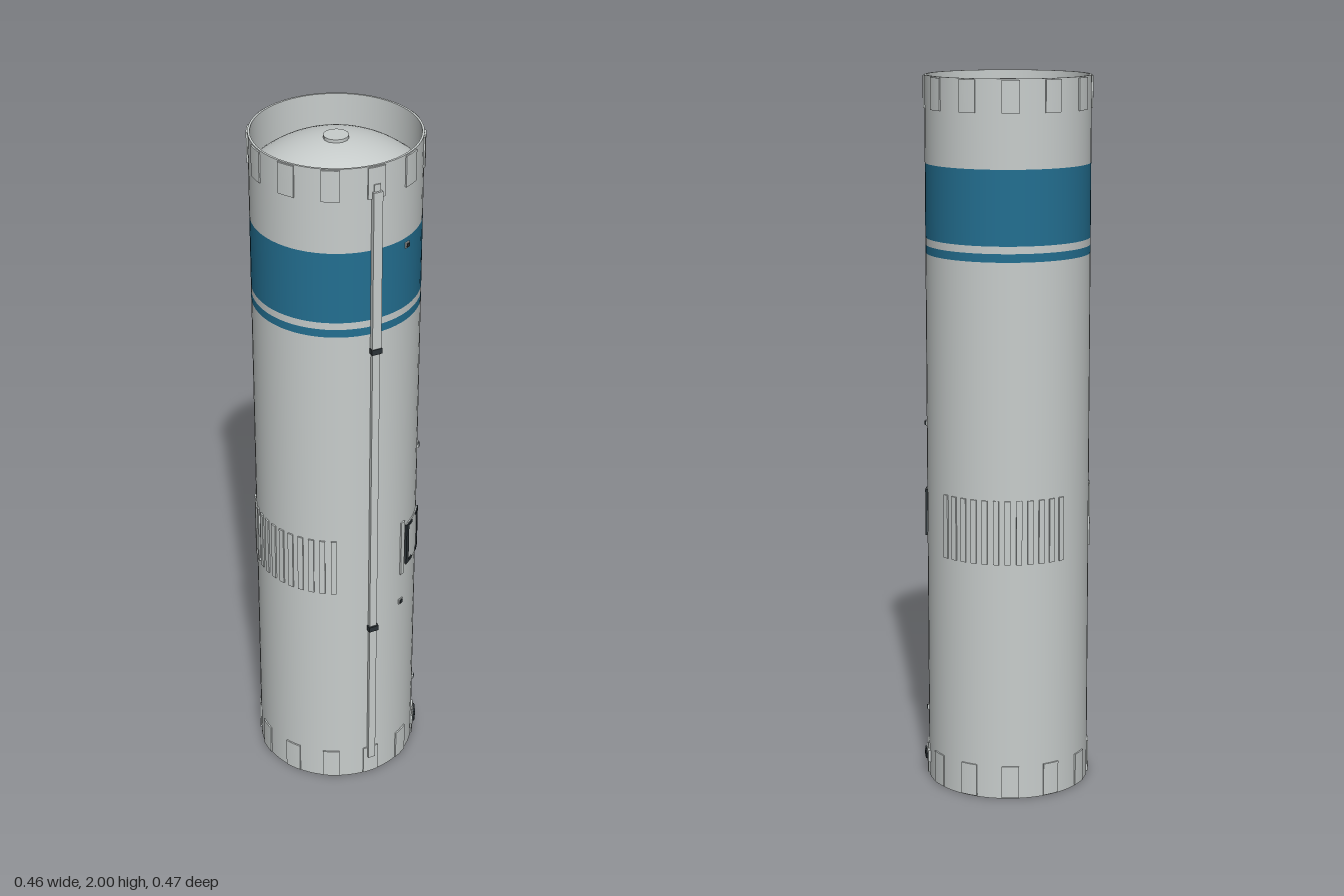
import * as THREE from 'three';

const R = 0.228, RI = 0.222, SEG = 64, DEG = Math.PI / 180;

function paint(name, color) {
  const m = new THREE.MeshStandardMaterial({ color });
  m.name = name;
  return m;
}

export function createModel() {
  const grey = paint('light grey', 0xc8cdcc);
  const blue = paint('blue', 0x236f91);
  const dark = paint('charcoal', 0x2b3236);

  const model = new THREE.Group();
  model.name = 'boosterStage';
  const body = new THREE.Group();
  body.name = 'body';
  body.position.z = -0.006;
  model.add(body);

  function add(name, geometry, material) {
    const mesh = new THREE.Mesh(geometry, material);
    mesh.name = name;
    body.add(mesh);
    return mesh;
  }

  function lathe(name, points, material) {
    return add(name, new THREE.LatheGeometry(points.map(p => new THREE.Vector2(...p)), SEG), material);
  }

  // Curved plate wrapped on the hull; azimuth runs from the front (+z) towards +x
  function plate(name, a0, a1, y0, y1, r1, material, r0 = R - 0.002) {
    const s = new THREE.Shape();
    const t0 = (a0 - 90) * DEG, t1 = (a1 - 90) * DEG;
    s.absarc(0, 0, r1, t0, t1, false);
    s.absarc(0, 0, r0, t1, t0, true);
    const g = new THREE.ExtrudeGeometry(s, { depth: y1 - y0, bevelEnabled: false, curveSegments: 4 });
    g.rotateX(-Math.PI / 2);
    g.translate(0, y0, 0);
    return add(name, g, material);
  }

  // Hull sections, bottom to top
  const cuts = [0, 0.295, 1.075, 1.49, 1.515, 1.538, 1.558, 1.762, 2];
  for (let i = 0; i < cuts.length - 1; i++) {
    const isBlue = i === 4 || i === 6;
    lathe(isBlue ? 'blueBand' : 'hullSection', [[R, cuts[i]], [R, cuts[i + 1]]], isBlue ? blue : grey);
  }
  // Rim edges and inner wall
  lathe('topRim', [[R, 2], [RI, 2]], grey);
  lathe('innerWall', [[RI, 2], [RI, 0]], grey);
  lathe('bottomRim', [[RI, 0], [R, 0]], grey);

  // Recessed tank domes with round hatches
  const dome = [];
  const rise = 0.078, rad = 0.216, sphere = (rad * rad + rise * rise) / (2 * rise);
  const edge = Math.asin(rad / sphere);
  for (let i = 0; i <= 12; i++) {
    const a = edge * (1 - i / 12);
    dome.push([Math.max(sphere * Math.sin(a), 0), sphere * Math.cos(a) - sphere]);
  }
  lathe('upperDome', dome.map(([r, y]) => [r, 1.98 + y]), grey);
  lathe('lowerDome', dome.map(([r, y]) => [r, 0.028 - y]).reverse(), grey);
  for (const y of [1.98, 0.028]) {
    add('domeHatch', new THREE.CylinderGeometry(0.034, 0.034, 0.014, 12), grey).position.y = y;
  }

  // Raised panels around both end rings
  for (let a = 0; a < 360; a += 30) {
    plate('lowerRingPanel', a - 6, a + 6, 0.003, 0.095, 0.232, grey);
    plate('upperRingPanel', a - 6, a + 6, 1.91, 1.997, 0.232, grey);
  }

  // Stringers around the middle band
  for (let a = 28; a <= 332; a += 8) {
    if ((a > 62 && a < 100) || (a > 30 && a < 62) || (a > 195 && a < 236)) continue;
    plate('stringer', a - 2, a + 2, 0.68, 0.86, 0.232, grey);
  }

  // Access hatch with a dark frame
  plate('accessHatch', 33, 57, 0.7, 0.84, 0.231, grey);
  for (const a of [32, 55]) plate('hatchFrameSide', a, a + 3.5, 0.705, 0.838, 0.234, dark);
  for (const y of [0.705, 0.83]) {
    plate('hatchFrameEnd', 35, 41, y, y + 0.008, 0.234, dark);
    plate('hatchFrameEnd', 50, 56, y, y + 0.008, 0.234, dark);
  }

  // Cable duct up the front
  function box(name, w, y0, y1, z1, material) {
    const mesh = add(name, new THREE.BoxGeometry(w, y1 - y0, z1 - 0.222), material);
    mesh.position.set(0, (y0 + y1) / 2, (z1 + 0.222) / 2);
  }
  box('lowerDuct', 0.022, 0.06, 1.465, 0.238, grey);
  box('upperDuct', 0.026, 1.465, 1.93, 0.241, grey);
  box('ductTip', 0.018, 1.93, 1.95, 0.235, grey);
  for (const y of [0.545, 1.465]) box('ductClamp', 0.03, y - 0.008, y + 0.008, 0.243, dark);

  // Small fittings spaced along the hull
  for (const [a, y] of [[27, 1.74], [63, 1.035], [27, 0.585], [63, 0.2]]) {
    const base = plate('fittingBase', a - 2, a + 2, y - 0.008, y + 0.008, 0.231, grey);
    base.name = 'fittingBase';
    plate('fittingPin', a - 1.2, a + 1.2, y - 0.005, y + 0.005, 0.234, dark);
  }

  // Connector panel near the base
  plate('connectorPanel', 53, 71, 0.042, 0.076, 0.235, grey);
  for (const a of [56, 62, 68]) {
    plate('connector', a - 1.8, a + 1.8, 0.052, 0.066, 0.24, dark);
  }

  return model;
}
